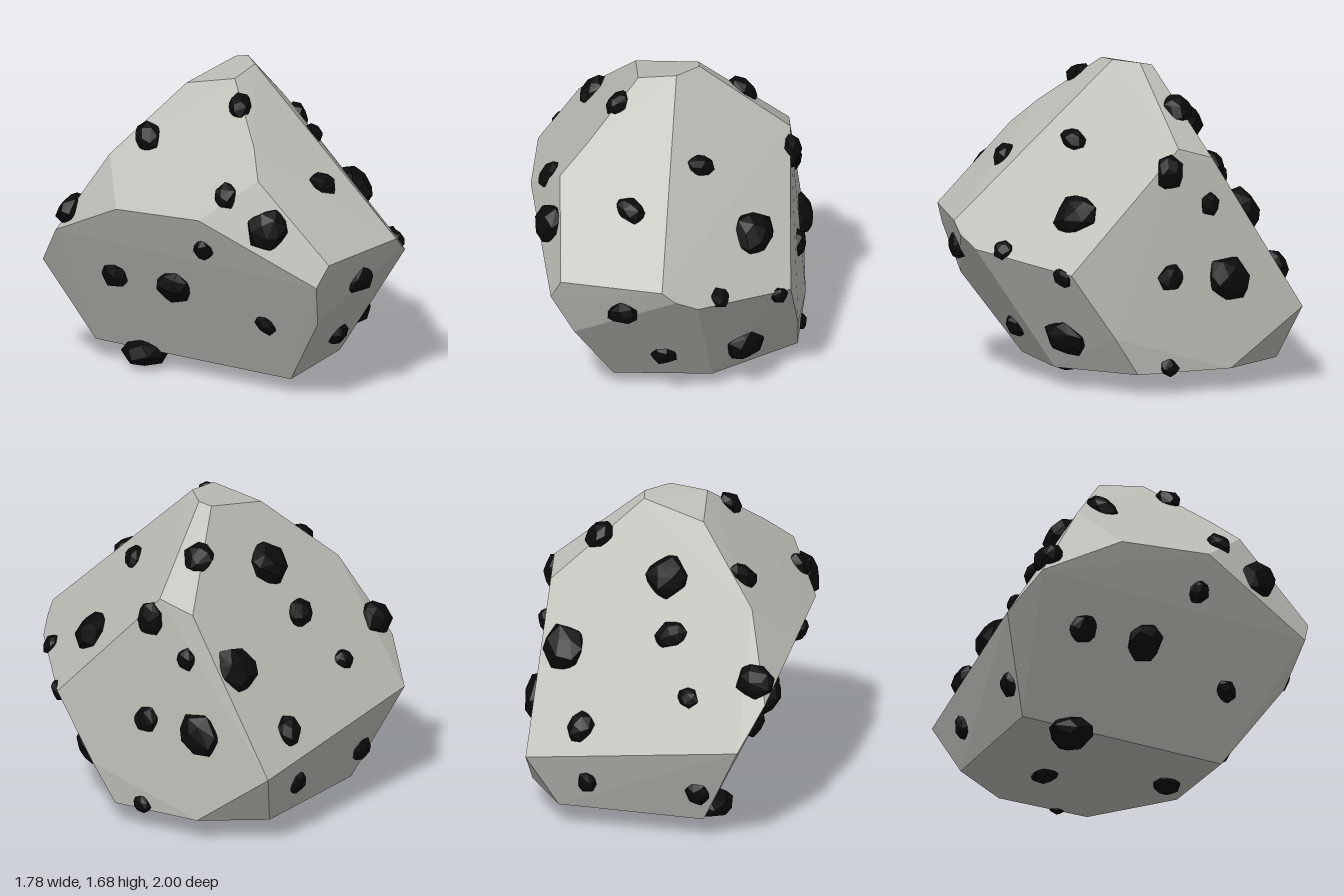
import * as THREE from 'three';
import { ConvexGeometry } from 'three/addons/geometries/ConvexGeometry.js';

// Corners of the faceted boulder
const corners = [
  // crown
  [0.115, 1.68, 0.04], [0.155, 1.675, -0.115], [0.11, 1.66, -0.17], [-0.06, 1.657, 0.14], [-0.23, 1.595, -0.08],
  // front ridge and nose
  [-0.14, 1.4, 0.5], [-0.2, 1.265, 0.66], [0.04, 0.862, 1], [0.55, 0.867, 0.8], [-0.03, 0.743, 0.99], [0.04, 0.497, 0.875],
  // +x flank
  [0.605, 0.805, 0.755], [0.68, 0.743, 0.655], [0.885, 0.66, 0.095], [0.785, 0.315, -0.118],
  // back
  [0.535, 1.295, -0.405], [0.42, 1.235, -0.56], [0.2, 0.417, -1],
  // -x flank
  [-0.857, 0.585, -0.51], [-0.883, 0.81, -0.32], [-0.645, 1.243, -0.16], [-0.74, 1.024, 0.084], [-0.483, 1.052, 0.522],
];
const baseCorners = [
  [0.06, 0.086, 0.54], [0.5, 0.095, 0.267], [0.707, 0.11, -0.225], [0.451, 0.118, -0.668], [0.11, 0.123, -0.84], [-0.57, 0.11, -0.455],
];

// Nodules by side: x, y, z, radius
const nodules = {
  frontUpper: [[-0.36, 1.2, 0.57, 0.07], [-0.1, 1.55, 0.27, 0.07], [0.22, 1.185, 0.62, 0.075], [-0.21, 1.03, 0.77, 0.115]],
  frontLower: [[-0.42, 0.86, 0.466, 0.062], [-0.63, 0.575, -0.13, 0.08], [-0.44, 0.575, 0.176, 0.108], [-0.11, 0.43, 0.577, 0.06],
    [0.32, 0.685, 0.83, 0.08], [0.36, 0.28, 0.51, 0.07]],
  flank: [[0.39, 1.3, 0.195, 0.07], [0.7, 0.97, 0.13, 0.12], [0.68, 0.26, 0.19, 0.11], [0.71, 0.75, 0.5, 0.055], [0.85, 0.64, 0.15, 0.055],
    [0.6, 0.62, -0.38, 0.072], [0.44, 0.595, -0.66, 0.12], [0.465, 0.995, -0.565, 0.06], [0.585, 1.175, -0.375, 0.085], [0.615, 0.14, -0.37, 0.05]],
  back: [[-0.02, 0.59, -0.81, 0.08], [0.22, 0.935, -0.675, 0.12], [-0.5, 0.8, -0.5, 0.058], [-0.29, 1.07, -0.405, 0.08],
    [-0.16, 1.33, -0.285, 0.12], [0.275, 1.47, -0.35, 0.085], [-0.8, 0.92, -0.31, 0.1], [-0.49, 1.36, -0.04, 0.085],
    [-0.074, 0.29, -0.82, 0.06], [-0.6, 0.28, -0.54, 0.07]],
  underside: [[-0.4, 0.1, -0.22, 0.125], [0.3, 0.09, 0.23, 0.08], [0.16, 0.105, -0.4, 0.07]],
};

function seeded(seed) {
  let s = seed;
  return () => {
    s = (Math.imul(s, 1664525) + 1013904223) >>> 0;
    return s / 4294967296;
  };
}

// Planes of the larger facets, used to seat the nodules
function facetPlanes(geometry) {
  const p = geometry.attributes.position;
  const planes = [];
  for (let i = 0; i < p.count; i += 3) {
    const t = new THREE.Triangle();
    t.setFromAttributeAndIndices(p, i, i + 1, i + 2);
    if (t.getArea() > 0.002) planes.push(t.getPlane(new THREE.Plane()));
  }
  return planes;
}

// Faceted pebble, flattened along local z
function pebbleGeometry(radius, random) {
  const points = [];
  const count = 26;
  const stretch = 0.86 + random() * 0.24;
  for (let i = 0; i < count; i++) {
    const h = 1 - (2 * (i + 0.5)) / count;
    const ring = Math.sqrt(1 - h * h);
    const a = i * 2.39996 + random() * 0.5;
    const r = radius * (0.88 + random() * 0.22);
    points.push(new THREE.Vector3(
      Math.cos(a) * ring * r * stretch, (Math.sin(a) * ring * r) / stretch, h * r * 0.68));
  }
  return new ConvexGeometry(points);
}

export function createModel() {
  const model = new THREE.Group();
  model.name = 'speckledBoulder';

  const stone = new THREE.MeshStandardMaterial({ color: 0xbdbdb7, flatShading: true });
  stone.name = 'pale grey stone';
  const dark = new THREE.MeshStandardMaterial({ color: 0x0b0b0b, flatShading: true });
  dark.name = 'black mineral';

  // Boulder
  const hull = new ConvexGeometry([...corners, ...baseCorners].map((c) => new THREE.Vector3(...c)));
  const boulder = new THREE.Mesh(hull, stone);
  boulder.name = 'boulder';
  model.add(boulder);

  // Nodules, each half sunk into its nearest facet
  const planes = facetPlanes(hull);
  const random = seeded(41);
  const zAxis = new THREE.Vector3(0, 0, 1);
  for (const [side, list] of Object.entries(nodules)) {
    const group = new THREE.Group();
    group.name = side + 'Nodules';
    for (const [x, y, z, radius] of list) {
      const guess = new THREE.Vector3(x, y, z);
      const plane = planes.reduce((a, b) => (b.distanceToPoint(guess) > a.distanceToPoint(guess) ? b : a));
      const seat = plane.projectPoint(guess, new THREE.Vector3());
      const turn = new THREE.Quaternion().setFromUnitVectors(zAxis, plane.normal);
      turn.multiply(new THREE.Quaternion().setFromAxisAngle(zAxis, random() * 6.28));
      const geometry = pebbleGeometry(radius, random);
      geometry.applyQuaternion(turn).translate(seat.x, seat.y, seat.z);
      // keep the pebbles above the ground
      const p = geometry.attributes.position;
      for (let i = 0; i < p.count; i++) p.setY(i, Math.max(0, p.getY(i)));
      if (side === 'underside' && radius > 0.1) {
        geometry.computeBoundingBox();
        const low = geometry.boundingBox.min.y;
        geometry.translate(0, -low, 0);
      }
      geometry.computeVertexNormals();
      const nodule = new THREE.Mesh(geometry, dark);
      nodule.name = 'nodule';
      group.add(nodule);
    }
    model.add(group);
  }
  return model;
}
